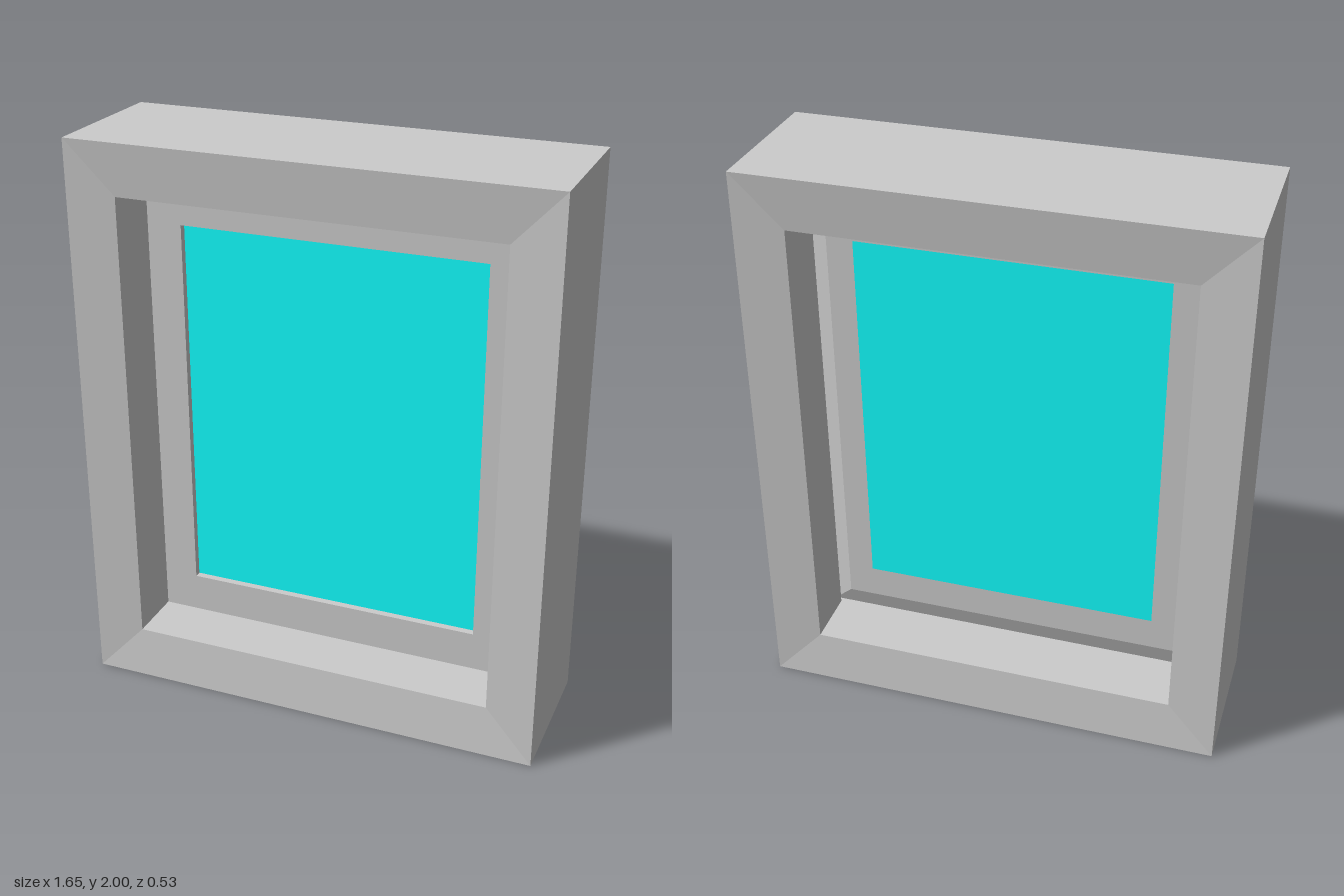
import * as THREE from 'three';

const grey = new THREE.MeshStandardMaterial({ color: 0xcccccc, flatShading: true });
const glass = new THREE.MeshStandardMaterial({ color: 0x12ffff, side: THREE.DoubleSide });

// Mitred rectangular ring swept from a closed profile.
// Each profile point is [half width, half height, z, x offset].
function mitredRing(name, profile) {
  const signs = [[1, 1], [-1, 1], [-1, -1], [1, -1]];
  const corner = ([hx, hy, z, cx = 0], j) => {
    const [sx, sy] = signs[j % 4];
    return [cx + sx * hx, 1 + sy * hy, z];
  };
  const positions = [];
  profile.forEach((p, i) => {
    const q = profile[(i + 1) % profile.length];
    for (let j = 0; j < 4; j++) {
      const a = corner(p, j), b = corner(q, j);
      const c = corner(q, j + 1), d = corner(p, j + 1);
      positions.push(...a, ...d, ...c, ...a, ...c, ...b);
    }
  });
  const geometry = new THREE.BufferGeometry();
  geometry.setAttribute('position', new THREE.Float32BufferAttribute(positions, 3));
  geometry.computeVertexNormals();
  const mesh = new THREE.Mesh(geometry, grey);
  mesh.name = name;
  return mesh;
}

export function createModel() {
  const model = new THREE.Group();
  model.name = 'window';

  // Deep outer frame: faces slope slightly inward, groove holds the sash
  model.add(mitredRing('outerFrame', [
    [0.825, 1, 0.265],
    [0.655, 0.818, 0.247],
    [0.655, 0.818, 0.04],
    [0.71, 0.873, 0.04],
    [0.71, 0.873, -0.04],
    [0.655, 0.818, -0.04],
    [0.655, 0.818, -0.247],
    [0.825, 1, -0.265],
  ]));

  // Thin sash, flat in front and bevelled around its back edge
  model.add(mitredRing('sash', [
    [0.71, 0.873, 0.04],
    [0.536, 0.678, 0.04, 0.005],
    [0.536, 0.678, 0.015, 0.005],
    [0.635, 0.798, 0.015],
  ]));

  // Glass pane, flush with the back of the sash
  const pane = new THREE.Mesh(new THREE.PlaneGeometry(1.072, 1.356), glass);
  pane.position.set(0.005, 1, 0.015);
  pane.name = 'pane';
  model.add(pane);

  return model;
}
